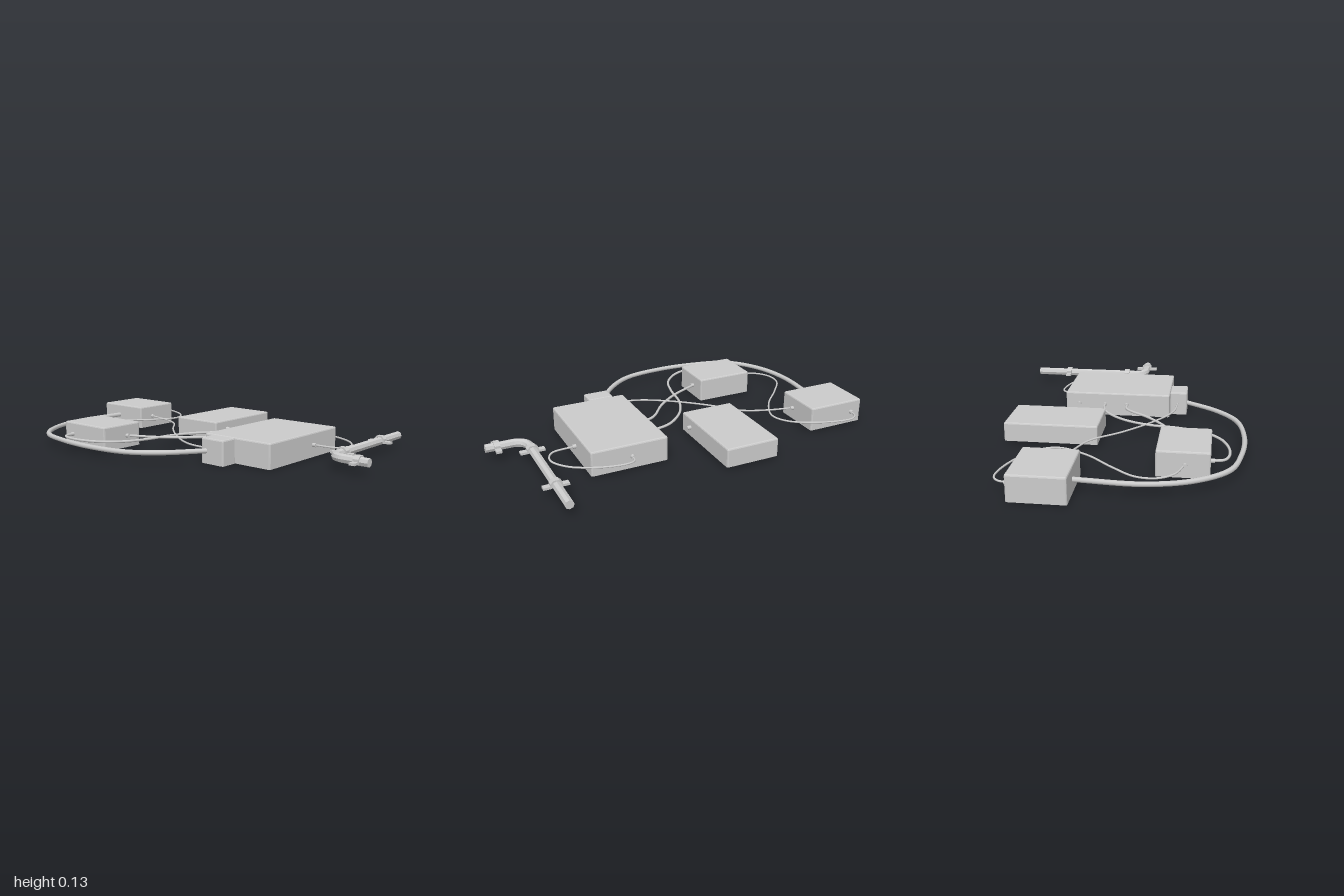
import * as THREE from 'three';

const MID = 0.065; // height of every cable and pipe axis
const smooth = new THREE.MeshStandardMaterial({ color: 0xcccccc });
const flat = new THREE.MeshStandardMaterial({ color: 0xcccccc, flatShading: true });
const shell = new THREE.MeshStandardMaterial({ color: 0xcccccc, flatShading: true, side: THREE.DoubleSide });

function add(parent, name, geometry, material) {
  const mesh = new THREE.Mesh(geometry, material);
  mesh.name = name;
  parent.add(mesh);
  return mesh;
}

// Thin housing, open underneath, with softly rounded corners and top edge
function housingGeometry(x0, x1, z0, z1, y0, y1) {
  const r = 0.008, w = (x1 - x0) / 2 - r, d = (z1 - z0) / 2 - r;
  const cx = (x0 + x1) / 2, cz = (z0 + z1) / 2;
  const rings = [[r, y0], [r, y1 - r], [r * 0.7, y1 - r * 0.3], [r * 0.1, y1]];
  const pos = [], index = [], n = 12;
  for (const [radius, y] of rings) {
    for (let k = 0; k < 4; k++) {
      const sx = k === 0 || k === 3 ? 1 : -1, sz = k < 2 ? -1 : 1;
      for (let j = 0; j < 3; j++) {
        const a = k * Math.PI / 2 + j * Math.PI / 4;
        pos.push(cx + sx * w + radius * Math.cos(a), y, cz + sz * d - radius * Math.sin(a));
      }
    }
  }
  for (let k = 0; k < rings.length - 1; k++) {
    for (let i = 0; i < n; i++) {
      const a = k * n + i, b = k * n + (i + 1) % n;
      index.push(a, b, b + n, a, b + n, a + n);
    }
  }
  const top = (rings.length - 1) * n;
  pos.push(cx, y1, cz);
  for (let i = 0; i < n; i++) index.push(top + i, top + (i + 1) % n, top + n);
  const g = new THREE.BufferGeometry();
  g.setAttribute('position', new THREE.Float32BufferAttribute(pos, 3));
  g.setIndex(index);
  const out = g.toNonIndexed();
  out.computeVertexNormals();
  return out;
}

// Cable lying flat through a list of [x, z] points
function cableGeometry(points, radius) {
  const curve = new THREE.CatmullRomCurve3(points.map(([x, z]) => new THREE.Vector3(x, MID, z)));
  return new THREE.TubeGeometry(curve, 80, radius, 8);
}

// Short cable gland through a wall; axis is 'x' or 'z'
function addGland(parent, x, z, axis) {
  const m = add(parent, 'cableGland', new THREE.CylinderGeometry(0.011, 0.011, 0.036, 12), smooth);
  m.position.set(x, MID, z);
  if (axis === 'x') m.rotation.z = Math.PI / 2;
  else m.rotation.x = Math.PI / 2;
}

// Saddle clamp: two tabs joined by a faceted arch over the pipe
function clampGeometry() {
  const s = new THREE.Shape(), low = -0.011, high = 0.001, tab = 0.064;
  s.moveTo(-tab, low);
  s.lineTo(-0.02, low);
  s.lineTo(-0.02, 0.01);
  s.lineTo(-0.01, 0.02);
  s.lineTo(0.01, 0.02);
  s.lineTo(0.02, 0.01);
  s.lineTo(0.02, low);
  s.lineTo(tab, low);
  s.lineTo(tab, high);
  s.lineTo(0.029, high);
  s.lineTo(0.029, 0.013);
  s.lineTo(0.014, 0.028);
  s.lineTo(-0.014, 0.028);
  s.lineTo(-0.029, 0.013);
  s.lineTo(-0.029, high);
  s.lineTo(-tab, high);
  return new THREE.ExtrudeGeometry(s, { depth: 0.03, bevelEnabled: false }).translate(0, 0, -0.015);
}

export function createModel() {
  const model = new THREE.Group();

  // Housings: x range, z range, y range
  const housings = {
    rearLeftBox: [-1, -0.675, -0.4, -0.125, 0, 0.13],
    frontBox: [-0.65, -0.325, 0.222, 0.48, 0, 0.13],
    separateBox: [-0.335, -0.042, -0.59, -0.1, 0.015, 0.115],
    mainBox: [0.17, 0.58, -0.362, 0.232, 0, 0.13],
    sideBox: [0.228, 0.368, 0.232, 0.328, 0, 0.13],
  };
  for (const [name, size] of Object.entries(housings)) add(model, name, housingGeometry(...size), shell);

  // Cables
  const thin = 0.005, medium = 0.007;
  const cables = {
    thickHose: [0.013, [[-0.87, -0.13], [-0.882, 0.19], [-0.823, 0.404], [-0.69, 0.565], [-0.5, 0.623],
      [-0.262, 0.643], [-0.02, 0.605], [0.128, 0.5], [0.26, 0.325]]],
    rearLoopCable: [thin, [[-0.936, -0.39], [-0.925, -0.45], [-0.882, -0.48], [-0.717, -0.452], [-0.556, -0.36],
      [-0.513, -0.265], [-0.583, -0.115], [-0.717, 0.03], [-0.807, 0.147], [-0.813, 0.243], [-0.76, 0.318], [-0.645, 0.361]]],
    crossingCable: [thin, [[-0.68, -0.222], [-0.53, -0.185], [-0.396, -0.126], [-0.262, 0.019], [-0.075, 0.174],
      [0.086, 0.26], [0.235, 0.276]]],
    shortCable: [medium, [[-0.33, 0.32], [-0.155, 0.233], [-0.02, 0.126], [0.06, 0.03], [0.107, -0.005], [0.175, -0.013]]],
    frontLoopCable: [medium, [[-0.583, 0.475], [-0.567, 0.543], [-0.476, 0.57], [-0.315, 0.532], [-0.21, 0.43],
      [-0.166, 0.297], [-0.139, 0.137], [-0.075, 0], [0.032, -0.104], [0.112, -0.133], [0.175, -0.136]]],
    sideLoopCable: [thin, [[0.364, -0.355], [0.374, -0.41], [0.412, -0.425], [0.54, -0.404], [0.684, -0.329],
      [0.743, -0.233], [0.711, -0.158], [0.575, -0.14]]],
  };
  for (const [name, [radius, points]] of Object.entries(cables)) add(model, name, cableGeometry(points, radius), smooth);

  // Glands where cables enter the housings, plus two spare ones
  const glands = [
    [-0.936, -0.4, 'z'], [-0.675, -0.222, 'x'], [-0.65, 0.361, 'x'], [-0.325, 0.318, 'x'], [-0.583, 0.48, 'z'],
    [-0.038, -0.197, 'x'], [0.17, -0.286, 'x'], [0.17, -0.136, 'x'], [0.17, -0.013, 'x'],
    [0.364, -0.362, 'z'], [0.58, -0.14, 'x'],
  ];
  for (const [x, z, axis] of glands) addGland(model, x, z, axis);

  // Bent pipe with closed ends
  const pipe = new THREE.Group();
  pipe.name = 'pipe';
  model.add(pipe);
  const bend = 0.065, px = 0.789, pz = 0.03, r = 0.0225;
  const at = (x, z) => new THREE.Vector3(x, MID, z);
  const path = new THREE.CurvePath();
  path.add(new THREE.LineCurve3(at(px, -0.66), at(px, pz - bend)));
  path.add(new THREE.QuadraticBezierCurve3(at(px, pz - bend), at(px + 0.008, pz - 0.008), at(px + bend, pz)));
  path.add(new THREE.LineCurve3(at(px + bend, pz), at(1, pz)));
  add(pipe, 'pipeBody', new THREE.TubeGeometry(path, 80, r, 8), flat);
  const rearCap = add(pipe, 'rearPipeEnd', new THREE.CircleGeometry(r, 8), flat);
  rearCap.position.set(px, MID, -0.66);
  rearCap.rotation.y = Math.PI;
  const frontCap = add(pipe, 'frontPipeEnd', new THREE.CircleGeometry(r, 8), flat);
  frontCap.position.set(1, MID, pz);
  frontCap.rotation.y = Math.PI / 2;

  // Clamps along the pipe
  for (const [x, z, turn] of [[px, -0.463, 0], [px, -0.085, 0], [0.942, pz, Math.PI / 2]]) {
    const clamp = add(pipe, 'pipeClamp', clampGeometry(), flat);
    clamp.position.set(x, MID, z);
    clamp.rotation.y = turn;
  }
  return model;
}
